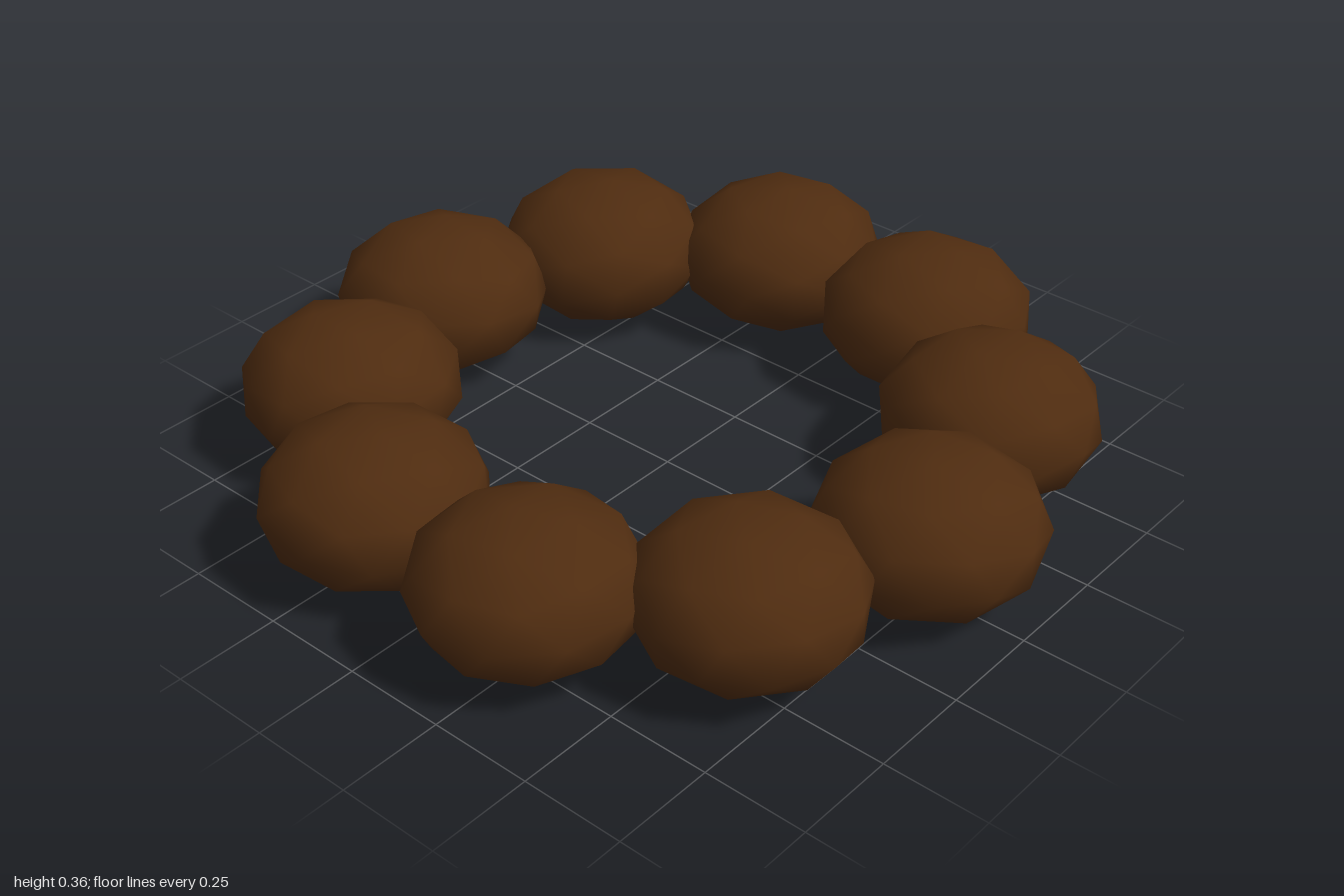
import * as THREE from 'three';
import { mergeVertices } from 'three/addons/utils/BufferGeometryUtils.js';

const BEADS = 10;
const RING_RADIUS = 0.742;
const BEAD_RADIUS = 0.263;
const BEAD_HALF_HEIGHT = 0.183;

// Small seeded generator, so each bead is turned differently
function seeded(seed) {
  return () => {
    seed = (seed * 16807) % 2147483647;
    return seed / 2147483647;
  };
}

// Coarse smooth ball, turned first and then flattened along y
function beadGeometry(random) {
  const ball = new THREE.IcosahedronGeometry(1, 1);
  ball.deleteAttribute('uv');
  const geometry = mergeVertices(ball, 1e-4);
  geometry.rotateX(random() * Math.PI * 2);
  geometry.rotateY(random() * Math.PI * 2);
  geometry.rotateZ(random() * Math.PI * 2);
  geometry.scale(BEAD_RADIUS, BEAD_HALF_HEIGHT, BEAD_RADIUS);
  return geometry;
}

export function createModel() {
  const model = new THREE.Group();
  model.name = 'beadRing';
  const material = new THREE.MeshStandardMaterial({ color: 0x4f2c10 });
  const random = seeded(4711);

  // Flattened beads evenly spaced around a flat ring
  for (let i = 0; i < BEADS; i++) {
    const angle = (i / BEADS) * Math.PI * 2;
    const bead = new THREE.Mesh(beadGeometry(random), material);
    bead.name = `bead${i + 1}`;
    bead.position.set(
      Math.cos(angle) * RING_RADIUS,
      BEAD_HALF_HEIGHT,
      Math.sin(angle) * RING_RADIUS
    );
    model.add(bead);
  }
  return model;
}
